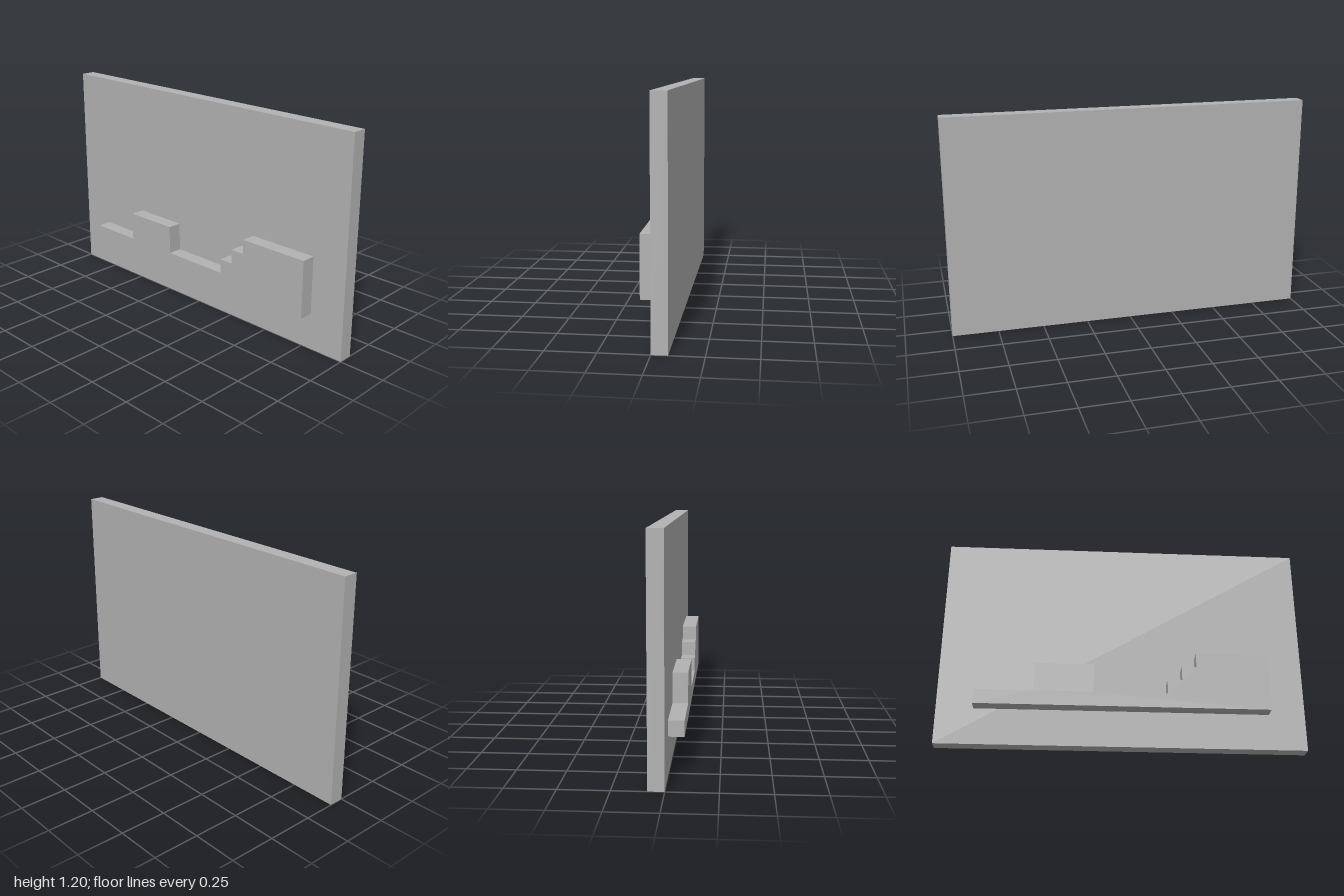
import * as THREE from 'three';

export function createModel() {
  const model = new THREE.Group();
  model.name = 'reliefPanel';
  const grey = new THREE.MeshStandardMaterial({ color: 0xb2b2b2 });
  grey.name = 'plainGrey';
  const depth = 0.08;

  // Upright backing panel
  const panel = new THREE.Mesh(new THREE.BoxGeometry(2, 1.2, depth), grey);
  panel.name = 'backPanel';
  panel.position.set(0, 0.6, -depth / 2);
  model.add(panel);

  // Raised stepped silhouette on the front of the panel
  const outline = [
    [-0.8, 0.2], [0.8, 0.2], [0.8, 0.52], [0.4, 0.52], [0.4, 0.44], [0.32, 0.44],
    [0.32, 0.36], [0.24, 0.36], [0.24, 0.28], [-0.16, 0.28], [-0.16, 0.44],
    [-0.48, 0.44], [-0.48, 0.28], [-0.8, 0.28],
  ];
  const shape = new THREE.Shape(outline.map(([x, y]) => new THREE.Vector2(x, y)));
  const relief = new THREE.Mesh(
    new THREE.ExtrudeGeometry(shape, { depth, bevelEnabled: false }), grey);
  relief.name = 'steppedRelief';
  model.add(relief);

  return model;
}
